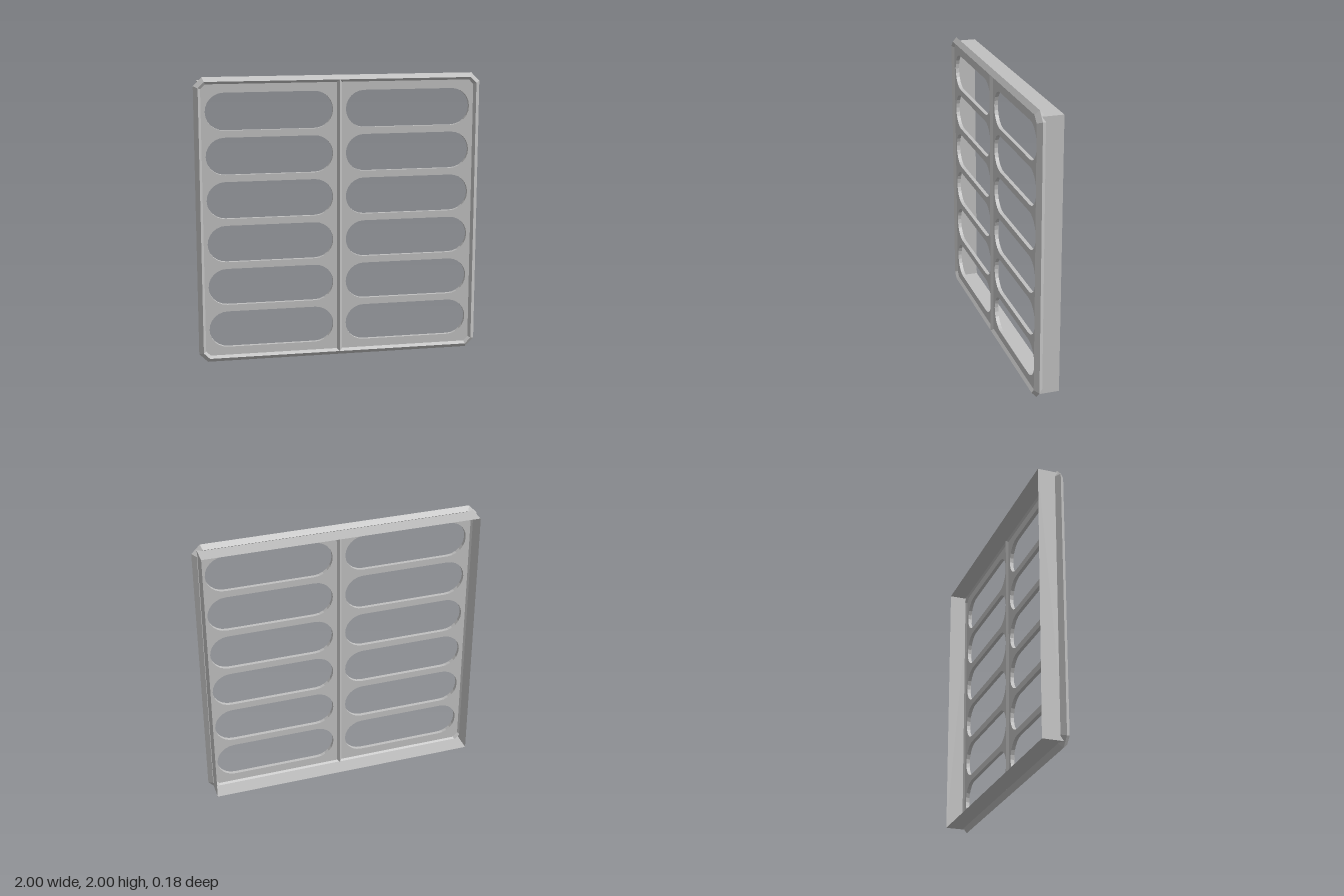
import * as THREE from 'three';

const R = 0.03;       // half width of the diamond-section rim and bar
const RIM_Z = 0.06;   // depth of the rim centre line
const MID_Y = 1;

// Square with cut corners, counter-clockwise; inset moves every edge inwards
function octagon(inset) {
  const h = 1 - inset;
  const c = 1.94 - inset * Math.SQRT2 - h; // where the corner cut starts
  return [[h, -c], [h, c], [c, h], [-c, h], [-h, c], [-h, -c], [-c, -h], [c, -h]]
    .map(([x, y]) => new THREE.Vector2(x, y + MID_Y));
}

// Closed frame swept with a diamond section
function rimGeometry() {
  const section = [[0, 0], [R, R], [2 * R, 0], [R, -R]]; // inset, depth
  const loops = section.map(([inset, dz]) =>
    octagon(inset).map(p => [p.x, p.y, RIM_Z + dz]));
  const pos = [];
  for (let k = 0; k < 4; k++) {
    for (let i = 0; i < 8; i++) {
      const k2 = (k + 1) % 4, i2 = (i + 1) % 8;
      const a = loops[k][i], b = loops[k][i2], c = loops[k2][i2], d = loops[k2][i];
      pos.push(...a, ...b, ...c, ...a, ...c, ...d);
    }
  }
  const g = new THREE.BufferGeometry();
  g.setAttribute('position', new THREE.Float32BufferAttribute(pos, 3));
  g.computeVertexNormals();
  return g;
}

// Plate with two columns of six rounded slots
function panelGeometry() {
  const shape = new THREE.Shape(octagon(R));
  const r = 0.129, halfStraight = 0.311;
  for (const side of [-1, 1]) {
    for (let row = 0; row < 6; row++) {
      const x = side * 0.485, y = 0.235 + row * 0.306;
      const slot = new THREE.Path();
      slot.absarc(x + halfStraight, y, r, -Math.PI / 2, Math.PI / 2, false);
      slot.absarc(x - halfStraight, y, r, Math.PI / 2, Math.PI * 1.5, false);
      slot.closePath();
      shape.holes.push(slot);
    }
  }
  const g = new THREE.ExtrudeGeometry(shape, { depth: 0.026, bevelEnabled: false, curveSegments: 6 });
  return g.translate(0, 0, 0.046);
}

export function createModel() {
  const model = new THREE.Group();
  model.name = 'slottedPanel';
  const grey = new THREE.MeshStandardMaterial({
    color: 0xc0c0c0, flatShading: true, side: THREE.DoubleSide,
  });
  grey.name = 'grey';

  const add = (name, geometry) => {
    const mesh = new THREE.Mesh(geometry, grey);
    mesh.name = name;
    model.add(mesh);
  };

  add('rim', rimGeometry());
  add('slottedPlate', panelGeometry());

  // Upright diamond-section bar between the slot columns
  add('centreBar', new THREE.CylinderGeometry(R, R, 1.94, 4).translate(0, MID_Y, RIM_Z));

  // Thin square skirt behind the rim, open at both ends
  const half = 0.966 * Math.SQRT2;
  add('backSkirt', new THREE.CylinderGeometry(half, half, 0.15, 4, 1, true)
    .rotateY(Math.PI / 4).rotateX(Math.PI / 2).translate(0, MID_Y, -0.015));

  return model;
}
